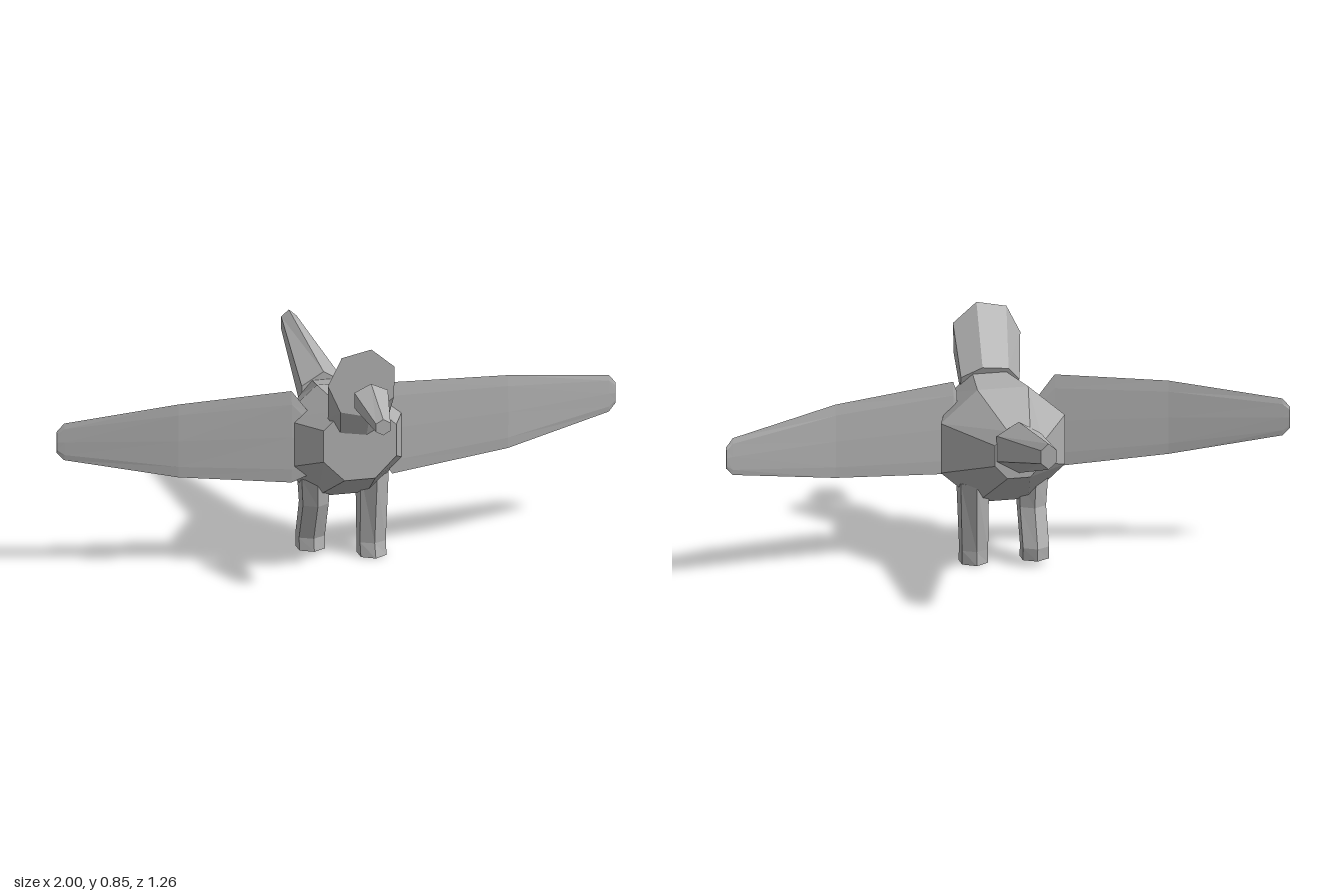
import * as THREE from 'three';

const V = (x, y, z) => new THREE.Vector3(x, y, z);

// Ring of n points around a centre, spanned by two half-axis vectors
function ring(n, startDeg, c, u, v) {
  return Array.from({ length: n }, (_, i) => {
    const a = THREE.MathUtils.degToRad(startDeg) + (i / n) * Math.PI * 2;
    return c.clone().addScaledVector(u, Math.cos(a)).addScaledVector(v, Math.sin(a));
  });
}

// Closed skin through rings of equal point count, faces turned outwards
function loft(rings) {
  const tris = [], n = rings[0].length;
  for (let r = 0; r < rings.length - 1; r++) {
    for (let i = 0; i < n; i++) {
      const j = (i + 1) % n, A = rings[r], B = rings[r + 1];
      tris.push([A[i], A[j], B[j]], [A[i], B[j], B[i]]);
    }
  }
  const end = rings[rings.length - 1];
  for (let i = 1; i < n - 1; i++) {
    tris.push([rings[0][0], rings[0][i + 1], rings[0][i]], [end[0], end[i], end[i + 1]]);
  }
  const o = rings[0][0];
  let volume = 0;
  for (const [a, b, c] of tris) {
    volume += a.clone().sub(o).dot(b.clone().sub(o).cross(c.clone().sub(o)));
  }
  const pos = [];
  for (const [a, b, c] of tris) {
    for (const p of volume < 0 ? [a, c, b] : [a, b, c]) pos.push(p.x, p.y, p.z);
  }
  const g = new THREE.BufferGeometry();
  g.setAttribute('position', new THREE.Float32BufferAttribute(pos, 3));
  g.computeVertexNormals();
  return g;
}

export function createModel() {
  const model = new THREE.Group();
  const grey = new THREE.MeshStandardMaterial({ color: 0xb0b0b0, flatShading: true });
  grey.name = 'stone grey';
  const add = (name, rings) => {
    const mesh = new THREE.Mesh(loft(rings), grey);
    mesh.name = name;
    model.add(mesh);
  };

  // Body: three octagons along z [z, flat half width, half width, four heights]
  add('body', [
    [0.32, 0.055, 0.13, 0.355, 0.43, 0.545, 0.615],
    [0.08, 0.09, 0.22, 0.22, 0.335, 0.515, 0.628],
    [-0.17, 0.04, 0.085, 0.382, 0.43, 0.505, 0.555],
  ].map(([z, f, w, y0, y1, y2, y3]) => [
    V(-f, y0, z), V(f, y0, z), V(w, y1, z), V(w, y2, z),
    V(f, y3, z), V(-f, y3, z), V(-w, y2, z), V(-w, y1, z),
  ]));

  // Head: seven-sided, widening from the tilted neck to an upright face
  add('head', [
    ring(7, 24.4, V(0, 0.58, 0.3), V(0.11, 0, 0), V(0, 0.063, -0.025)),
    ring(7, 24.4, V(-0.005, 0.725, 0.377), V(0.125, 0, 0), V(0, 0.127, 0)),
  ]);

  // Beak and tail: tapering hexagons with a ridge on top
  const hex = (y, z, rx, ry) =>
    ring(6, 30, V(0, y, z), V(rx / Math.cos(Math.PI / 6), 0, 0), V(0, ry, 0));
  add('beak', [hex(0.7, 0.468, 0.06, 0.056), hex(0.651, 0.63, 0.026, 0.029)]);
  add('tail', [hex(0.492, -0.166, 0.078, 0.093), hex(0.608, -0.63, 0.027, 0.047)]);

  // Wings: thin blades swept back to the tip [x, z, bottom, top]
  for (const [name, s, root] of [
    ['leftWing', 1, [0.145, 0.158, 0.33, 0.6]],
    ['rightWing', -1, [0.14, 0.158, 0.33, 0.56]],
  ]) {
    const rows = [
      root, [s > 0 ? 0.16 : 0.2, 0.152, 0.305, 0.64], [0.59, 0.095, 0.34, 0.607],
      [0.975, 0.006, 0.408, 0.542], [1, 0, 0.435, 0.512],
    ];
    add(name, rows.map(([x, z, y0, y1]) =>
      ring(8, 0, V(s * x, (y0 + y1) / 2, z), V(0, (y1 - y0) / 2, 0), V(0, 0, 0.005))));
  }

  // Legs: upright hexagons, one straight and one bent back [y, x, z back, z front]
  const legs = {
    leftLeg: [[0.3, 0.106, 0.013, 0.157], [0.05, 0.101, 0.043, 0.14], [0, 0.101, 0.04, 0.156]],
    rightLeg: [[0.3, -0.104, 0.02, 0.15], [0.2, -0.101, 0.025, 0.135],
      [0.065, -0.101, -0.02, 0.08], [0.02, -0.101, -0.017, 0.088]],
  };
  for (const [name, rows] of Object.entries(legs)) {
    add(name, rows.map(([y, x, z0, z1]) => ring(6, 0, V(x, y, (z0 + z1) / 2),
      V(0, 0, (z1 - z0) / 2), V((y > 0.25 ? 0.05 : 0.046) / Math.cos(Math.PI / 6), 0, 0))));
  }
  return model;
}
